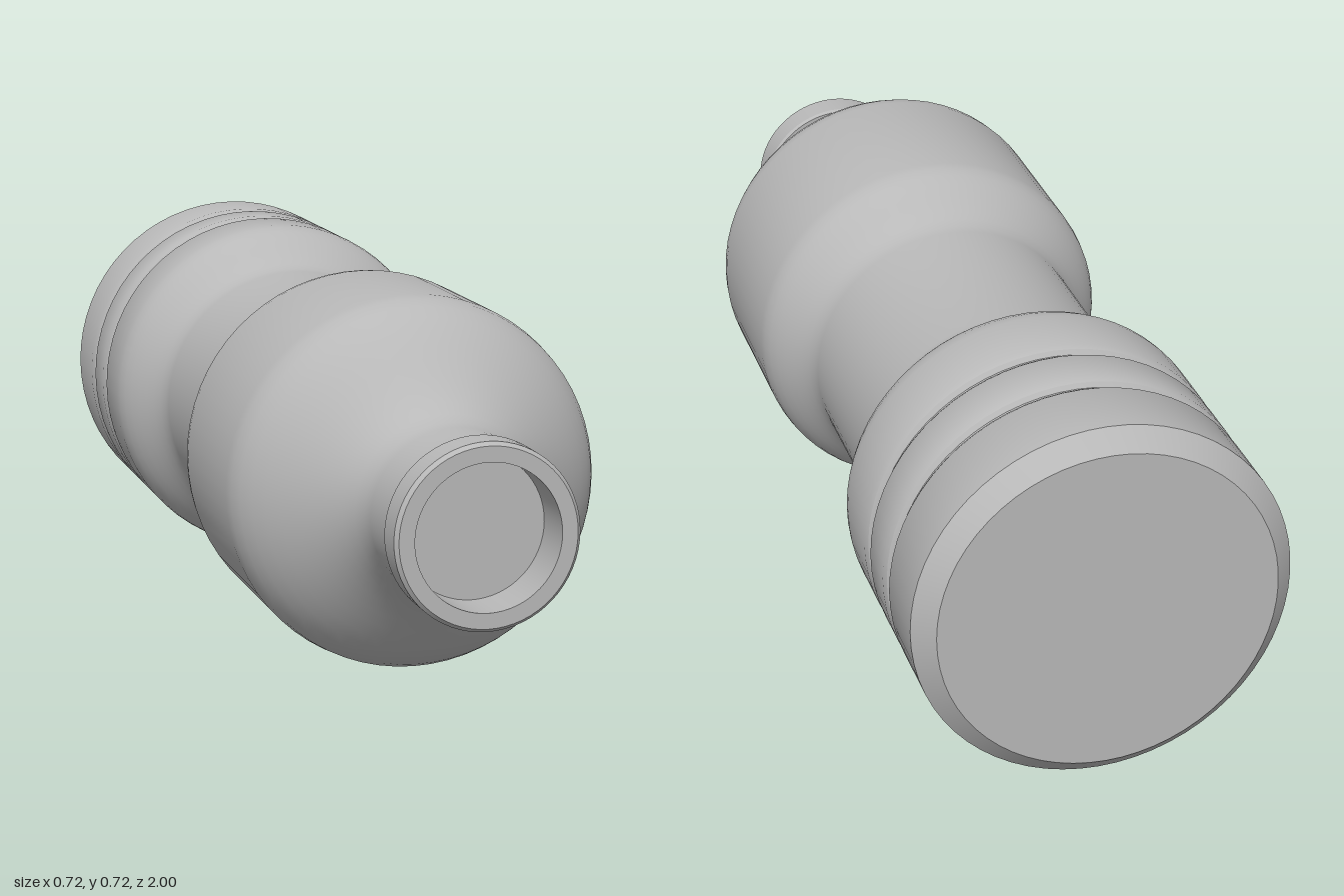
import * as THREE from 'three';
import { toCreasedNormals } from 'three/addons/utils/BufferGeometryUtils.js';

const SIDES = 64;
const RADIUS = 0.36, WAIST = 0.28, NECK = 0.16, LIP = 0.172, BORE = 0.136;
const p = (r, z) => new THREE.Vector2(r, z);

// S-shaped transition between two radii, tangent to the axis at both ends
function blend(r0, z0, r1, z1, steps = 9) {
  const d = (z1 - z0) * 0.4;
  return new THREE.CubicBezierCurve(p(r0, z0), p(r0, z0 + d), p(r1, z1 - d), p(r1, z1)).getPoints(steps);
}

// Rounded shallow groove around the body
function groove(z) {
  return [p(RADIUS, z - 0.022), p(RADIUS - 0.005, z - 0.012), p(RADIUS - 0.014, z - 0.006),
    p(RADIUS - 0.014, z + 0.006), p(RADIUS - 0.005, z + 0.012), p(RADIUS, z + 0.022)];
}

// Turned part: profile is (radius, z), running along the z axis
function turned(name, profile, material) {
  const geometry = toCreasedNormals(new THREE.LatheGeometry(profile, SIDES).rotateX(Math.PI / 2), 0.5);
  const mesh = new THREE.Mesh(geometry, material);
  mesh.name = name;
  mesh.position.y = RADIUS;
  return mesh;
}

export function createModel() {
  const group = new THREE.Group();
  group.name = 'bottle';
  const grey = new THREE.MeshStandardMaterial({ color: 0xb8b8b8 });
  grey.name = 'grey';

  // Base, grooved rear section, waist, front section and shoulder
  group.add(turned('body', [
    p(0, -1), p(0.322, -1), p(RADIUS, -0.963),
    ...groove(-0.8), ...groove(-0.67),
    ...blend(RADIUS, -0.53, WAIST, -0.365),
    ...blend(WAIST, 0.02, RADIUS, 0.185),
    ...blend(RADIUS, 0.51, NECK, 0.8, 12),
    p(NECK, 0.925),
  ], grey));

  // Lip with a recessed mouth closed by a flat floor
  group.add(turned('lip', [
    p(NECK, 0.925), p(LIP - 0.004, 0.925), p(LIP, 0.932),
    p(LIP, 0.992), p(LIP - 0.007, 1), p(BORE, 1),
    p(BORE, 0.9), p(0, 0.9),
  ], grey));

  return group;
}
